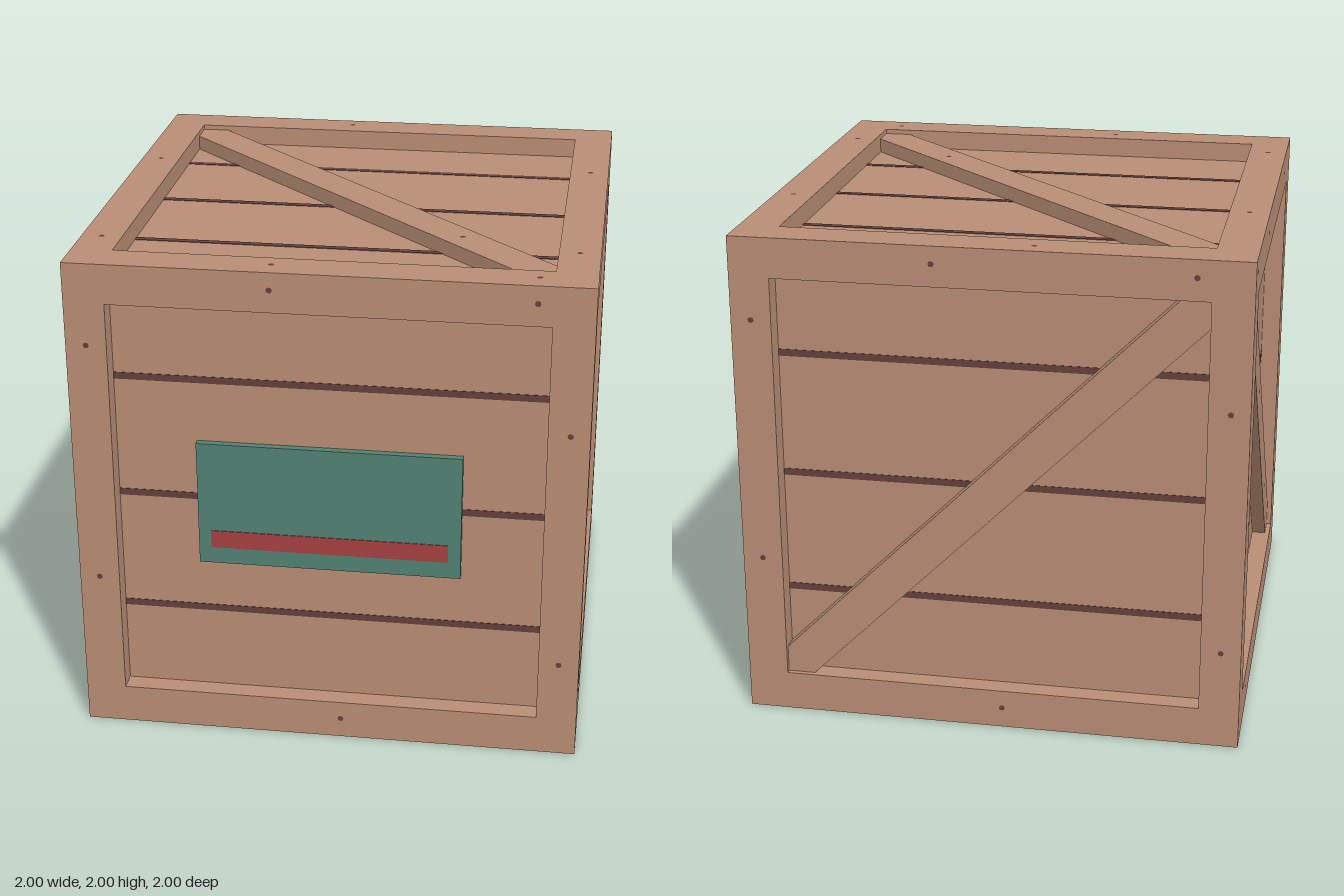
import * as THREE from 'three';

const mat = (name, color) => new THREE.MeshStandardMaterial({ name, color });

const BEAM = 0.16;   // width of the frame timbers
const IN = 0.84;     // half size of each framed opening
const PANEL = 0.92;  // distance of the recessed panels from the centre

// Nail positions on a face (u to the right, v up, w = surface height)
const frontNails = [[-0.21, 0.93], [0.785, 0.93], [-0.92, 0.67], [0.925, 0.405],
  [-0.92, -0.33], [0.92, -0.59], [0.05, -0.915]];
const sideNails = [[-0.64, 0.93], [0.36, 0.93], [0.925, 0.94], [-0.92, 0.405], [-0.92, -0.59],
  [0.925, -0.065], [-0.38, -0.915], [0.63, -0.915], [-0.51, -0.5, 0.98], [0.2, 0.205, 0.98]];
const topNails = [[-0.17, 0.93], [-0.92, 0.32], [0.925, 0.365], [-0.92, -0.69],
  [0.92, -0.635], [-0.215, -0.915], [0.785, -0.915], [0.46, -0.455, 0.98]];
const leftNails = sideNails.map(([u, v, w]) => [-u, v, w]);

// brace: 1 rises to the right, -1 rises to the left, 0 none
const faces = [
  { name: 'front', rot: [0, 0], brace: 0, nails: frontNails },
  { name: 'right', rot: [0, Math.PI / 2], brace: 1, nails: sideNails },
  { name: 'back', rot: [0, Math.PI], brace: 1, nails: frontNails },
  { name: 'left', rot: [0, -Math.PI / 2], brace: -1, nails: leftNails },
  { name: 'top', rot: [-Math.PI / 2, 0], brace: -1, nails: topNails },
  { name: 'bottom', rot: [Math.PI / 2, 0], brace: 0, nails: frontNails },
];

export function createModel() {
  const wood = mat('wood', 0xb88d74);
  const dark = mat('darkGap', 0x633f3c);
  const green = mat('greenSign', 0x528172);
  const red = mat('redStripe', 0xa54040);

  const model = new THREE.Group();
  model.name = 'crate';
  const crate = new THREE.Group();
  crate.name = 'crateBody';
  crate.position.y = 1;
  model.add(crate);

  const add = (parent, name, geometry, material, x = 0, y = 0, z = 0) => {
    const mesh = new THREE.Mesh(geometry, material);
    mesh.name = name;
    mesh.position.set(x, y, z);
    parent.add(mesh);
    return mesh;
  };
  const box = (parent, name, [w, h, d], material, x, y, z) =>
    add(parent, name, new THREE.BoxGeometry(w, h, d), material, x, y, z);

  // Recessed planked walls
  box(crate, 'panels', [2 * PANEL, 2 * PANEL, 2 * PANEL], wood);

  // Frame: four full-height posts with rails between them
  const c = 1 - BEAM / 2;
  for (const a of [-1, 1]) {
    for (const b of [-1, 1]) {
      box(crate, 'cornerPost', [BEAM, 2, BEAM], wood, a * c, 0, b * c);
      box(crate, 'crossRail', [2 * IN, BEAM, BEAM], wood, 0, a * c, b * c);
      box(crate, 'sideRail', [BEAM, BEAM, 2 * IN], wood, a * c, b * c, 0);
    }
  }

  // Diagonal brace with its ends cut to fit the corners
  const braceGeometry = (dir) => {
    const e = IN - 0.11;
    const outline = [[-IN, -IN], [-e, -IN], [IN, e], [IN, IN], [e, IN], [-IN, -e]];
    const shape = new THREE.Shape(outline.map(([u, v]) => new THREE.Vector2(u * dir, v)));
    return new THREE.ExtrudeGeometry(shape, { depth: 0.07, bevelEnabled: false });
  };

  // Details of each face, built facing +z and then turned into place
  for (const { name, rot, brace, nails } of faces) {
    const face = new THREE.Group();
    face.name = name + 'Face';
    face.rotation.set(rot[0], rot[1], 0);
    crate.add(face);

    for (const v of [-0.482, 0.018, 0.518]) {
      box(face, 'plankGap', [2 * IN, 0.028, 0.004], dark, 0, v, PANEL);
    }
    if (brace) add(face, 'diagonalBrace', braceGeometry(brace), wood, 0, 0, 0.91);
    for (const [u, v, w = 1] of nails) {
      add(face, 'nail', new THREE.CircleGeometry(0.012, 8), dark, u, v, w + 0.001);
    }
  }

  // Sign board with a painted stripe
  box(crate, 'signBoard', [1.04, 0.52, 0.04], green, 0, 0, 0.93);
  box(crate, 'signStripe', [0.94, 0.074, 0.004], red, 0, -0.153, 0.951);

  return model;
}
